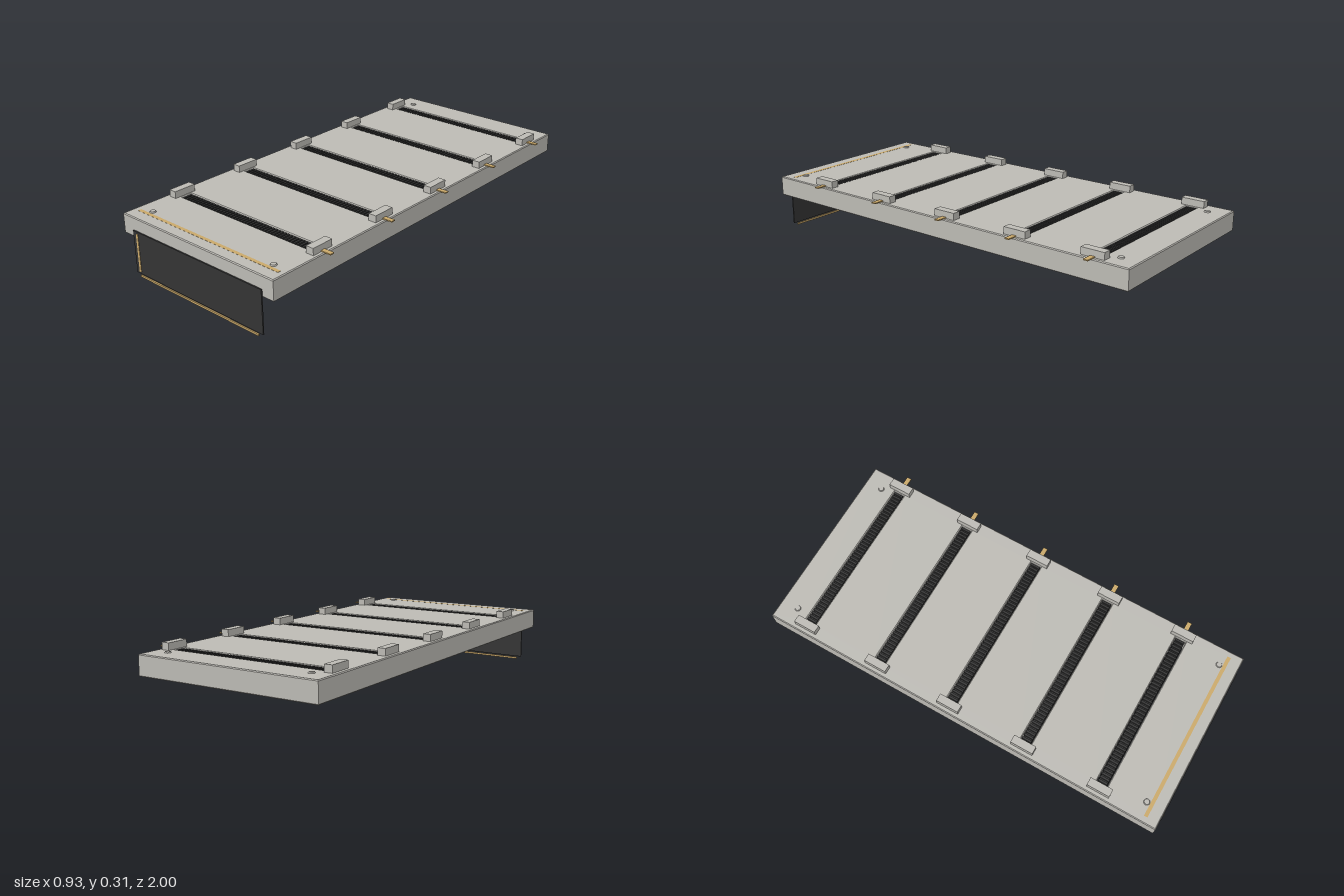
import * as THREE from 'three';
import { mergeGeometries } from 'three/addons/utils/BufferGeometryUtils.js';

const material = (name, color) => {
  const m = new THREE.MeshStandardMaterial({ color });
  m.name = name;
  return m;
};

// Box given by its min and max corners
const boxGeo = (x0, x1, y0, y1, z0, z1) =>
  new THREE.BoxGeometry(x1 - x0, y1 - y0, z1 - z0)
    .translate((x0 + x1) / 2, (y0 + y1) / 2, (z0 + z1) / 2);

// Rectangle points in the x / -z plane
const rect = (x0, x1, z0, z1) => [
  new THREE.Vector2(x0, -z1), new THREE.Vector2(x1, -z1),
  new THREE.Vector2(x1, -z0), new THREE.Vector2(x0, -z0),
];

export function createModel() {
  const group = new THREE.Group();
  const grey = material('warmGrey', 0xbcbab4);
  const dark = material('charcoal', 0x333333);
  const gold = material('tan', 0xc9a86a);

  const add = (name, geo, mat, parent = group) => {
    const mesh = new THREE.Mesh(geo, mat);
    mesh.name = name;
    parent.add(mesh);
    return mesh;
  };

  const rows = [-0.825, -0.444, -0.063, 0.318, 0.699];
  const bottom = 0.18, top = 0.275, bevel = 0.004;
  const slot = [-0.4, 0.37];

  // Slab with five slots cut through
  const shape = new THREE.Shape(rect(-0.465, 0.43, -1, 0.992));
  for (const z of rows) shape.holes.push(new THREE.Path(rect(...slot, z - 0.026, z + 0.026)));
  const slab = new THREE.ExtrudeGeometry(shape, {
    depth: top - bottom - 2 * bevel, bevelEnabled: true, bevelSegments: 1,
    bevelSize: bevel, bevelThickness: bevel, bevelOffset: -bevel,
  });
  slab.rotateX(-Math.PI / 2).translate(0, bottom + bevel, 0);
  add('slab', slab, grey);

  // Brush strips, end blocks and pull tabs
  const bristleCount = 45;
  for (const z of rows) {
    const row = new THREE.Group();
    row.name = 'brushRow';
    const parts = [boxGeo(...slot, 0.176, 0.264, z - 0.021, z + 0.021)];
    const step = (slot[1] - slot[0]) / bristleCount;
    for (let i = 0; i < bristleCount; i++) {
      const x = slot[0] + i * step;
      parts.push(boxGeo(x + step * 0.2, x + step * 0.8, 0.168, 0.273, z - 0.023, z + 0.023));
    }
    add('brushStrip', mergeGeometries(parts), dark, row);
    for (const [x0, x1] of [[-0.445, -0.408], [0.375, 0.413]])
      add('endBlock', boxGeo(x0, x1, top - 0.002, 0.307, z - 0.055, z + 0.055), grey, row);
    add('pullTab', boxGeo(0.41, 0.463, 0.276, 0.281, z - 0.011, z + 0.011), gold, row);
    group.add(row);
  }

  // Corner screws
  for (const x of [-0.376, 0.347])
    for (const z of [-0.914, 0.905])
      add('screw', new THREE.CylinderGeometry(0.012, 0.015, 0.007, 20).translate(x, top + 0.002, z), grey);

  // Hanging front panel with its trim
  add('frontPanel', boxGeo(-0.4, 0.37, 0.015, 0.215, 0.992, 0.998), dark);
  add('sideTrim', boxGeo(-0.381, -0.369, 0.025, 0.205, 0.997, 1), gold);
  add('bottomTrim', boxGeo(-0.375, 0.345, 0, 0.009, 0.993, 1), gold);

  // Line inlaid on the top near the front
  add('topLine', boxGeo(-0.435, 0.402, top - 0.002, top + 0.0006, 0.921, 0.938), gold);

  return group;
}
